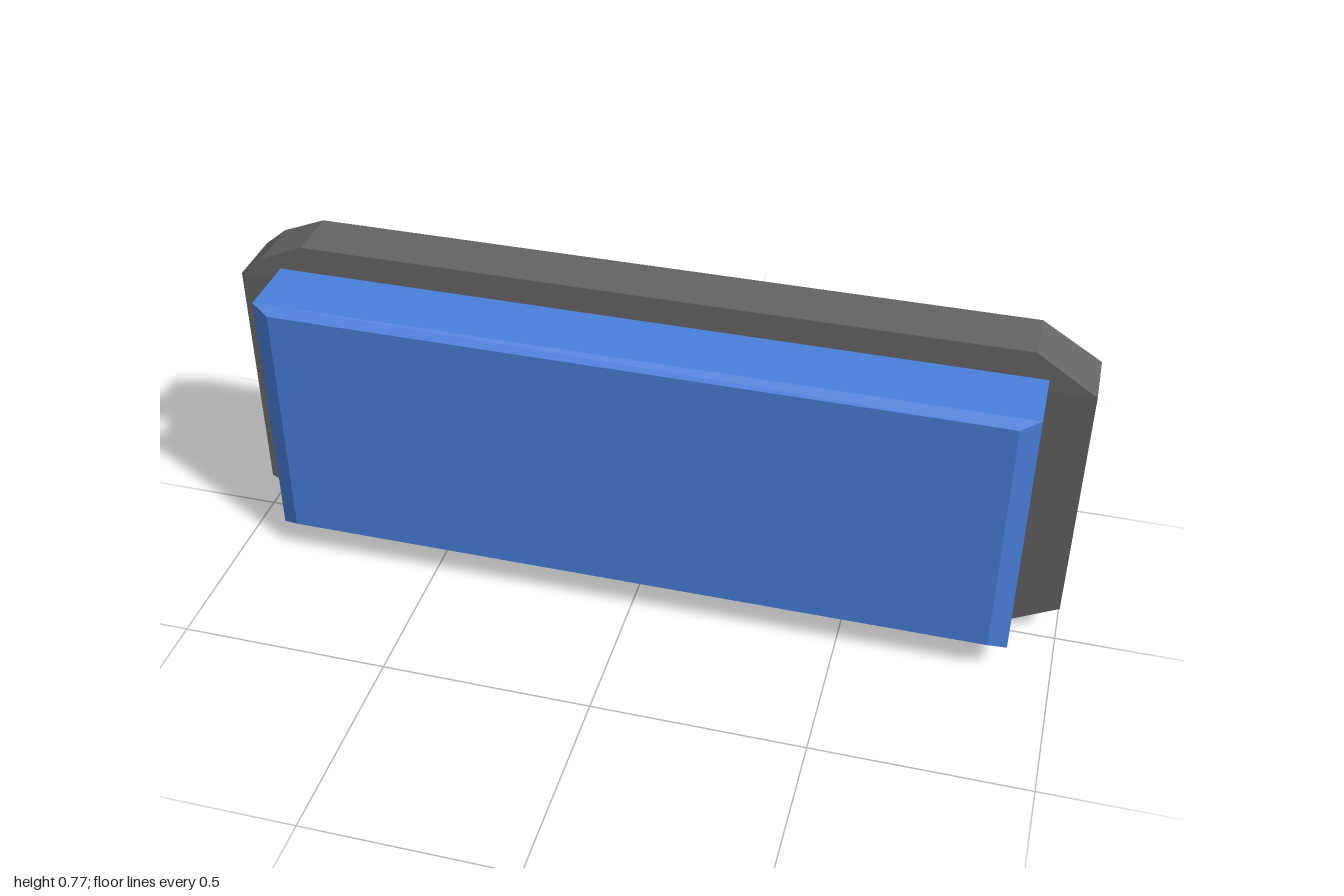
import * as THREE from 'three';
import { ConvexGeometry } from 'three/addons/geometries/ConvexGeometry.js';

// Faceted solid spanning a list of [x, y, z] corners
function facetedPart(name, corners, color) {
  const geometry = new ConvexGeometry(corners.map((c) => new THREE.Vector3(...c)));
  const mesh = new THREE.Mesh(geometry, new THREE.MeshStandardMaterial({ color, flatShading: true }));
  mesh.name = name;
  return mesh;
}

// The four corners of an upright rectangle at depth z
const rectangle = (x0, x1, y0, y1, z) => [[x0, y0, z], [x1, y0, z], [x1, y1, z], [x0, y1, z]];

export function createModel() {
  const group = new THREE.Group();
  group.name = 'wallPanel';

  // Back plate: clipped corners, sloping underside, top slightly thinner
  const front = -0.017, back = -0.16, taper = 0.005;
  const outline = [
    [0.85, 0], [1, 0.078], [1, 0.685], [0.86, 0.775],
    [-0.84, 0.775], [-0.945, 0.731], [-1, 0.685], [-1, 0.078], [-0.833, 0],
  ];
  const plate = [];
  for (const [x, y] of outline) {
    const inset = taper * Math.max(0, (y - 0.685) / 0.09);
    plate.push([x, y, front - inset], [x, Math.max(y, 0.032), back + inset]);
  }
  group.add(facetedPart('backPlate', plate, 0x646464));

  // Front block: box with a bevelled front rim
  group.add(facetedPart('frontBlock', [
    ...rectangle(-0.898, 0.894, 0.069, 0.712, front - 0.003),
    ...rectangle(-0.898, 0.894, 0.069, 0.712, 0.138),
    ...rectangle(-0.855, 0.85, 0.086, 0.695, 0.16),
  ], 0x4a80dd));

  return group;
}
